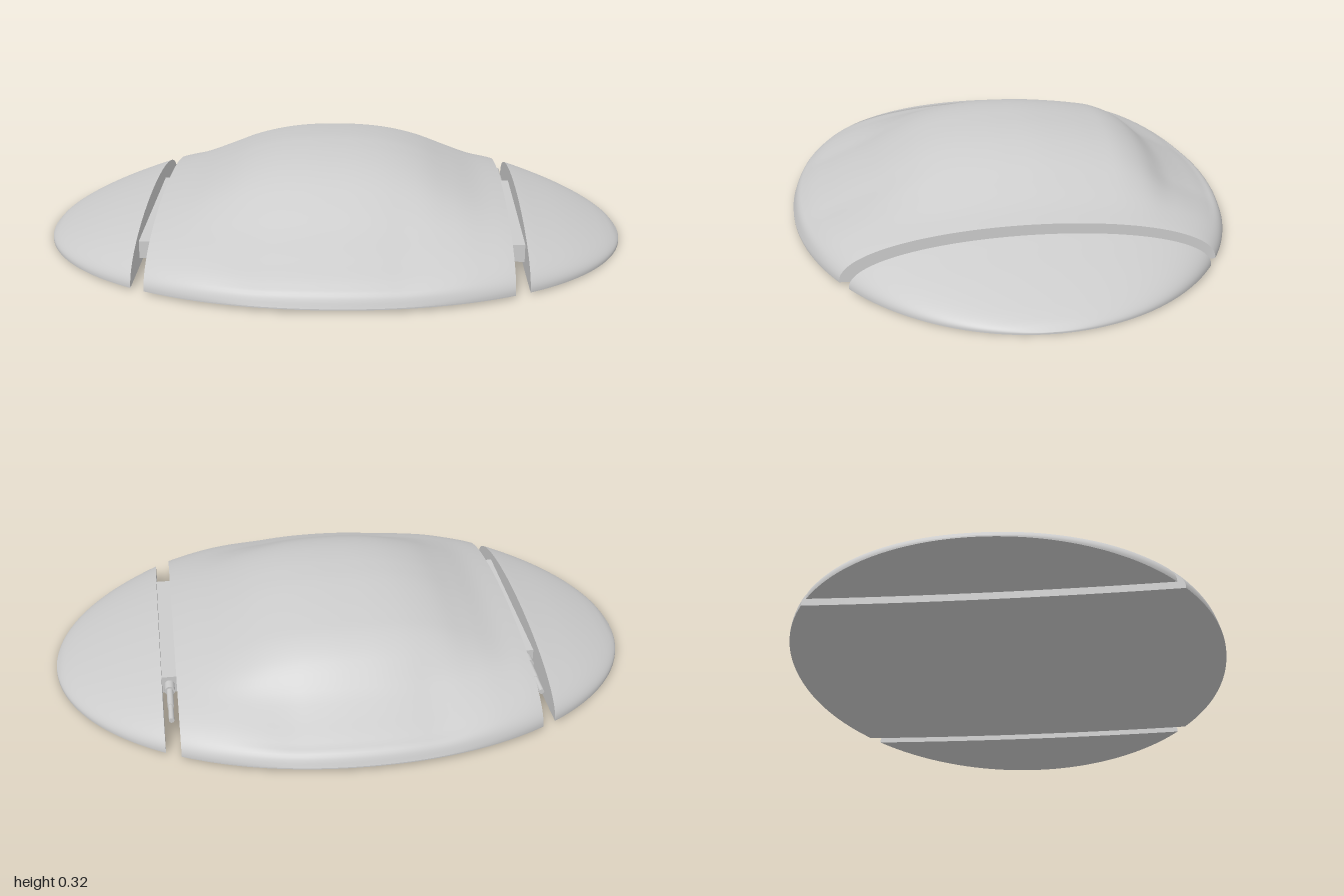
import * as THREE from 'three';
import { mergeGeometries } from 'three/addons/utils/BufferGeometryUtils.js';

const material = new THREE.MeshStandardMaterial({ color: 0xcccccc, side: THREE.DoubleSide });

// smooth curve through [position, value] knots
function curve(knots) {
  const c = new THREE.CubicInterpolant(knots.map(k => k[0]), knots.map(k => k[1]), 1, new Float32Array(1));
  return p => c.evaluate(p)[0];
}

// ridge height along |x|
const ridge = curve([[-0.1, 0.317], [0, 0.32], [0.1, 0.317], [0.2, 0.304], [0.3, 0.277], [0.4, 0.234], [0.5, 0.191],
  [0.59, 0.166], [0.64, 0.153], [0.7, 0.134], [0.8, 0.101], [0.9, 0.063], [0.95, 0.041], [0.98, 0.024], [1, 0.006]]);

// relative height of the middle section, from back rim (-1) to front rim (1)
const middle = curve([[-1, 0], [-0.985, 0.09], [-0.93, 0.18], [-0.8, 0.35], [-0.72, 0.47], [-0.61, 0.71], [-0.5, 0.85],
  [-0.4, 0.905], [-0.27, 0.955], [-0.1, 0.997], [0, 1], [0.1, 0.993], [0.27, 0.94], [0.4, 0.85], [0.53, 0.7],
  [0.67, 0.515], [0.82, 0.345], [0.95, 0.18], [0.985, 0.1], [1, 0]]);

const RIM = 0.004;
const halfWidth = x => 0.747 * Math.sqrt(Math.max(0, 1 - Math.abs(x) ** 2.06));
const bottomY = z => 0.012 * (z / 0.747) ** 2;

function topY(x, t, z) {
  const k = THREE.MathUtils.smoothstep(Math.abs(x), 0.2, 0.6);
  const section = THREE.MathUtils.lerp(middle(t), Math.sqrt(Math.max(0, 1 - t * t)), k);
  return bottomY(z) + RIM + Math.max(0, ridge(Math.abs(x)) - RIM) * Math.max(0, section);
}

// grid surface from point(u, v); front faces look along dv x du
function grid(nu, nv, point) {
  const pos = [], index = [];
  for (let i = 0; i <= nu; i++) for (let j = 0; j <= nv; j++) pos.push(...point(i / nu, j / nv));
  for (let i = 0; i < nu; i++) for (let j = 0; j < nv; j++) {
    const a = i * (nv + 1) + j, b = a + 1, c = a + nv + 1, d = c + 1;
    index.push(a, b, c, b, d, c);
  }
  const g = new THREE.BufferGeometry();
  g.setAttribute('position', new THREE.Float32BufferAttribute(pos, 3));
  g.setIndex(index);
  g.computeVertexNormals();
  return g;
}

// closed slice of the hull between x0 and x1
function hullSlice(name, x0, x1) {
  const atX = u => {
    if (x1 >= 1) return x0 + (x1 - x0) * Math.sin(u * Math.PI / 2);
    if (x0 <= -1) return x1 + (x0 - x1) * Math.cos(u * Math.PI / 2);
    return x0 + (x1 - x0) * u;
  };
  const atT = v => Math.sin((v - 0.5) * Math.PI);
  const top = (x, t) => { const z = t * halfWidth(x); return [x, topY(x, t, z), z]; };
  const bottom = (x, t) => { const z = t * halfWidth(x); return [x, bottomY(z), z]; };
  const parts = [
    grid(64, 80, (u, v) => top(atX(u), atT(v))),
    grid(64, 80, (u, v) => bottom(atX(u), atT(1 - v))),
    // thin edge along front and back
    grid(64, 1, (u, v) => (v ? bottom : top)(atX(u), 1)),
    grid(64, 1, (u, v) => (v ? top : bottom)(atX(u), -1)),
  ];
  // flat cut faces
  if (x0 > -1) parts.push(grid(1, 80, (u, v) => (u ? top : bottom)(x0, atT(v))));
  if (x1 < 1) parts.push(grid(1, 80, (u, v) => (u ? bottom : top)(x1, atT(v))));
  const mesh = new THREE.Mesh(mergeGeometries(parts), material);
  mesh.name = name;
  return mesh;
}

// bar and stepped pin that join a side shell to the body
function connector(name, x, width) {
  const group = new THREE.Group();
  group.name = name;
  const bar = new THREE.Mesh(new THREE.BoxGeometry(width, 0.06, 0.65), material);
  bar.position.set(x, 0.06, 0.055);
  bar.name = 'joiningBar';
  group.add(bar);
  for (const [part, r, z0, z1] of [['collar', 0.017, -0.31, -0.27], ['pin', 0.011, -0.4, -0.31], ['pinTip', 0.009, -0.48, -0.4]]) {
    const m = new THREE.Mesh(new THREE.CylinderGeometry(r, r, z1 - z0, 20).rotateX(Math.PI / 2), material);
    m.position.set(x, 0.06, (z0 + z1) / 2);
    m.name = part;
    group.add(m);
  }
  return group;
}

export function createModel() {
  const model = new THREE.Group();
  model.name = 'domedShell';
  model.add(
    hullSlice('centralBody', -0.596, 0.587),
    hullSlice('rightShell', -1, -0.643),
    hullSlice('leftShell', 0.636, 1),
    connector('rightConnector', -0.6195, 0.049),
    connector('leftConnector', 0.6115, 0.051),
  );
  return model;
}
